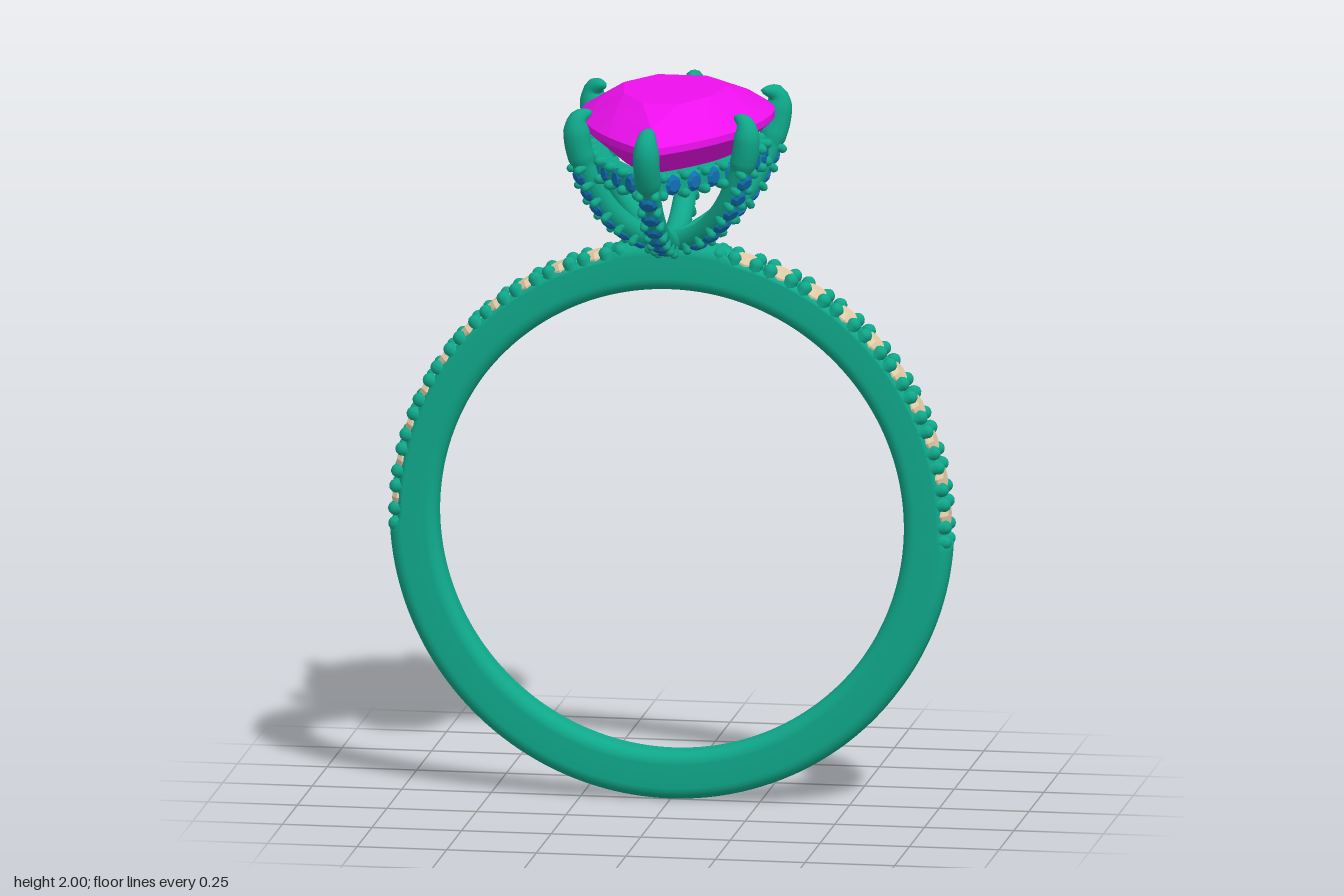
import * as THREE from 'three';
import { mergeGeometries, mergeVertices } from 'three/addons/utils/BufferGeometryUtils.js';
import { ConvexGeometry } from 'three/addons/geometries/ConvexGeometry.js';

const V = (x, y, z) => new THREE.Vector3(x, y, z);
const UP = V(0, 1, 0);
const mat = (color) => new THREE.MeshStandardMaterial({ color });
const metal = mat(0x0fa88a), magenta = mat(0xee10ee), blue = mat(0x1070b4), beige = mat(0xe2cba6);
const CY = 0.79, CZ = -0.025; // band centre

function mesh(name, geometry, material) {
  const m = new THREE.Mesh(geometry, material);
  m.name = name;
  return m;
}

// Copy of a geometry with its y axis turned to a direction
function place(geo, pos, normal) {
  const q = new THREE.Quaternion().setFromUnitVectors(UP, normal);
  return geo.clone().applyMatrix4(new THREE.Matrix4().compose(pos, q, V(1, 1, 1)));
}

// Small flat-faceted round gem, its girdle at the origin
function smallGem(r) {
  const profile = [[0, -0.5], [1, -0.15], [1, 0], [0.62, 0.33], [0, 0.33]];
  const g = new THREE.LatheGeometry(profile.map(([x, y]) => new THREE.Vector2(x * r, y * r)), 8).toNonIndexed();
  g.computeVertexNormals();
  return g;
}

// Rebuild smooth normals over a closed seam
function smooth(g) {
  g.deleteAttribute('uv');
  g.deleteAttribute('normal');
  const m = mergeVertices(g, 1e-5);
  m.computeVertexNormals();
  return m;
}

// Pear outline, x across and y along z, with the point at the front
function pear(s) {
  const p = new THREE.Shape();
  p.moveTo(0, -0.41 * s);
  p.bezierCurveTo(0.148 * s, -0.41 * s, 0.265 * s, -0.29 * s, 0.265 * s, -0.14 * s);
  p.bezierCurveTo(0.265 * s, 0.05 * s, 0.17 * s, 0.25 * s, 0, 0.41 * s);
  p.bezierCurveTo(-0.17 * s, 0.25 * s, -0.265 * s, 0.05 * s, -0.265 * s, -0.14 * s);
  p.bezierCurveTo(-0.265 * s, -0.29 * s, -0.148 * s, -0.41 * s, 0, -0.41 * s);
  return p;
}

// Centre stone: hull of table, crown, girdle, pavilion and culet
function centreStone() {
  const pts = [V(0, 1.685, -0.13)];
  const ring = (n, s, y, shift = 0, dz = 0) => {
    const p = pear(s);
    for (let i = 0; i < n; i++) {
      const q = p.getPoint((i + shift) / n);
      pts.push(V(q.x, y, q.y + dz));
    }
  };
  ring(8, 0.55, 2.0, 0.5);
  ring(8, 0.8, 1.962);
  ring(32, 1, 1.92);
  ring(32, 1, 1.9);
  ring(8, 0.55, 1.79, 0.5, -0.05);
  return mesh('centreStone', new ConvexGeometry(pts), magenta);
}

// Finger band, cut lower along the two rows of stones
function band() {
  const group = new THREE.Group();
  group.name = 'band';
  const c = 0.035, a = 0.65, b = 0.785, h = 0.0525;
  const profile = [];
  [[b - c, -h + c, -0.5], [b - c, h - c, 0], [a + c, h - c, 0.5], [a + c, -h + c, 1]].forEach(([x, y, k]) => {
    for (let i = 0; i <= 5; i++) {
      const t = Math.PI * (k + i / 10);
      profile.push(new THREE.Vector2(x + c * Math.cos(t), y + c * Math.sin(t)));
    }
  });
  profile.push(profile[0].clone());
  const g = new THREE.LatheGeometry(profile, 240);
  g.rotateX(Math.PI / 2);
  const p = g.attributes.position;
  for (let i = 0; i < p.count; i++) {
    const x = p.getX(i), y = p.getY(i), r = Math.hypot(x, y);
    const deg = THREE.MathUtils.radToDeg(Math.atan2(y, Math.abs(x)));
    if (r > 0.74 && deg > -2 && deg < 78) {
      const k = (0.74 + (r - 0.74) * 0.5) / r;
      p.setXY(i, x * k, y * k);
    }
  }
  g.translate(0, CY, CZ);
  group.add(mesh('bandBody', smooth(g), metal));

  const gem = smallGem(0.046), bead = new THREE.CapsuleGeometry(0.02, 0.03, 4, 8);
  const gems = [], beads = [];
  for (const side of [1, -1]) {
    const at = (deg, r, z, geo, list) => {
      const t = THREE.MathUtils.degToRad(deg), n = V(side * Math.cos(t), Math.sin(t), 0);
      list.push(place(geo, n.clone().multiplyScalar(r).add(V(0, CY, CZ + z)), n));
    };
    for (let i = 0; i <= 10; i++) {
      const deg = 3 + i * 7.9;
      if (i < 10) at(deg, 0.762, 0, gem, gems);
      for (const d of [-1.6, 1.6]) for (const z of [-0.032, 0.032]) at(deg - 3.95 + d, 0.752, z, bead, beads);
    }
  }
  group.add(mesh('bandStones', mergeGeometries(gems), beige), mesh('bandBeads', mergeGeometries(beads), metal));
  return group;
}

// Prong rising from the band and curling over the stone's edge
function prong(x, z) {
  const group = new THREE.Group();
  group.name = 'prong';
  const out = V(x, 0, z - CZ), R = out.length(), dir = out.clone().normalize();
  const side = dir.clone().cross(UP);
  const path = [[0, 1.57], [0.2, 1.585], [0.45, 1.625], [0.68, 1.69], [0.87, 1.785], [0.98, 1.88], [0.97, 1.945], [0.82, 1.962]];
  const curve = new THREE.CatmullRomCurve3(path.map(([f, y]) => dir.clone().multiplyScalar(f * R).add(V(0, y, CZ))));
  const n = 48, g = new THREE.TubeGeometry(curve, n, 1, 12);
  const p = g.attributes.position, q = V(0, 0, 0);
  for (let i = 0; i <= n; i++) {
    const u = i / n, centre = curve.getPointAt(u);
    const tip = u > 0.85 ? Math.pow((1 - u) / 0.15, 0.65) : 1;
    const r = (u < 0.7 ? 0.032 : 0.037) * tip;
    for (let j = 0; j <= 12; j++) {
      const k = i * 13 + j;
      q.fromBufferAttribute(p, k).sub(centre).multiplyScalar(r).add(centre);
      p.setXYZ(k, q.x, q.y, q.z);
    }
  }
  group.add(mesh('prongArm', smooth(g), metal));

  const gem = smallGem(0.027), bead = new THREE.CapsuleGeometry(0.012, 0.015, 3, 8);
  const gems = [], beads = [];
  for (let i = 0; i <= 12; i++) {
    const u = 0.13 + i * 0.0455, t = curve.getTangentAt(u), c = curve.getPointAt(u);
    const normal = dir.clone().multiplyScalar(t.y).addScaledVector(UP, -t.dot(dir)).normalize();
    if (i % 2) gems.push(place(gem, c.clone().addScaledVector(normal, 0.029), normal));
    else for (const s of [-0.022, 0.022]) {
      beads.push(place(bead, c.clone().addScaledVector(normal, 0.024).addScaledVector(side, s), normal));
    }
  }
  group.add(mesh('prongStones', mergeGeometries(gems), blue), mesh('prongBeads', mergeGeometries(beads), metal));
  return group;
}

// Jewelled rail under the girdle
function halo() {
  const group = new THREE.Group();
  group.name = 'halo';
  const shape = pear(0.88), y = 1.803;
  shape.holes.push(pear(0.72));
  const rail = new THREE.ExtrudeGeometry(shape, {
    depth: 0.04, bevelThickness: 0.008, bevelSize: 0.008, bevelSegments: 2, curveSegments: 16,
  });
  rail.rotateX(Math.PI / 2).translate(0, y + 0.02, 0);
  group.add(mesh('haloRail', rail, metal));

  const gem = smallGem(0.029), bead = new THREE.CapsuleGeometry(0.014, 0.015, 3, 8);
  const gems = [], beads = [], path = pear(0.88);
  for (let i = 0; i < 48; i++) {
    if (i % 24 === 0) continue;
    const p = path.getPoint(i / 48), t = path.getTangent(i / 48), n = V(t.y, 0, -t.x).normalize();
    const c = V(p.x, y, p.y).addScaledVector(n, 0.006);
    if (i % 2 === 0) gems.push(place(gem, c, n));
    else for (const dy of [-0.025, 0.025]) beads.push(place(bead, c.clone().add(V(0, dy, 0)), n));
  }
  group.add(mesh('haloStones', mergeGeometries(gems), blue), mesh('haloBeads', mergeGeometries(beads), metal));
  return group;
}

export function createModel() {
  const model = new THREE.Group();
  model.name = 'ring';
  model.add(band(), centreStone(), halo());
  // Six prongs around the stone
  for (const [x, z] of [[0, 0.415], [0, -0.415], [0.24, 0.15], [-0.24, 0.15], [0.262, -0.262], [-0.262, -0.262]]) {
    model.add(prong(x, z));
  }
  // Collar where the prongs meet the band
  const collar = new THREE.SphereGeometry(0.07, 20, 12);
  collar.scale(1, 0.45, 0.8).translate(0, 1.567, CZ);
  model.add(mesh('collar', collar, metal));
  return model;
}
